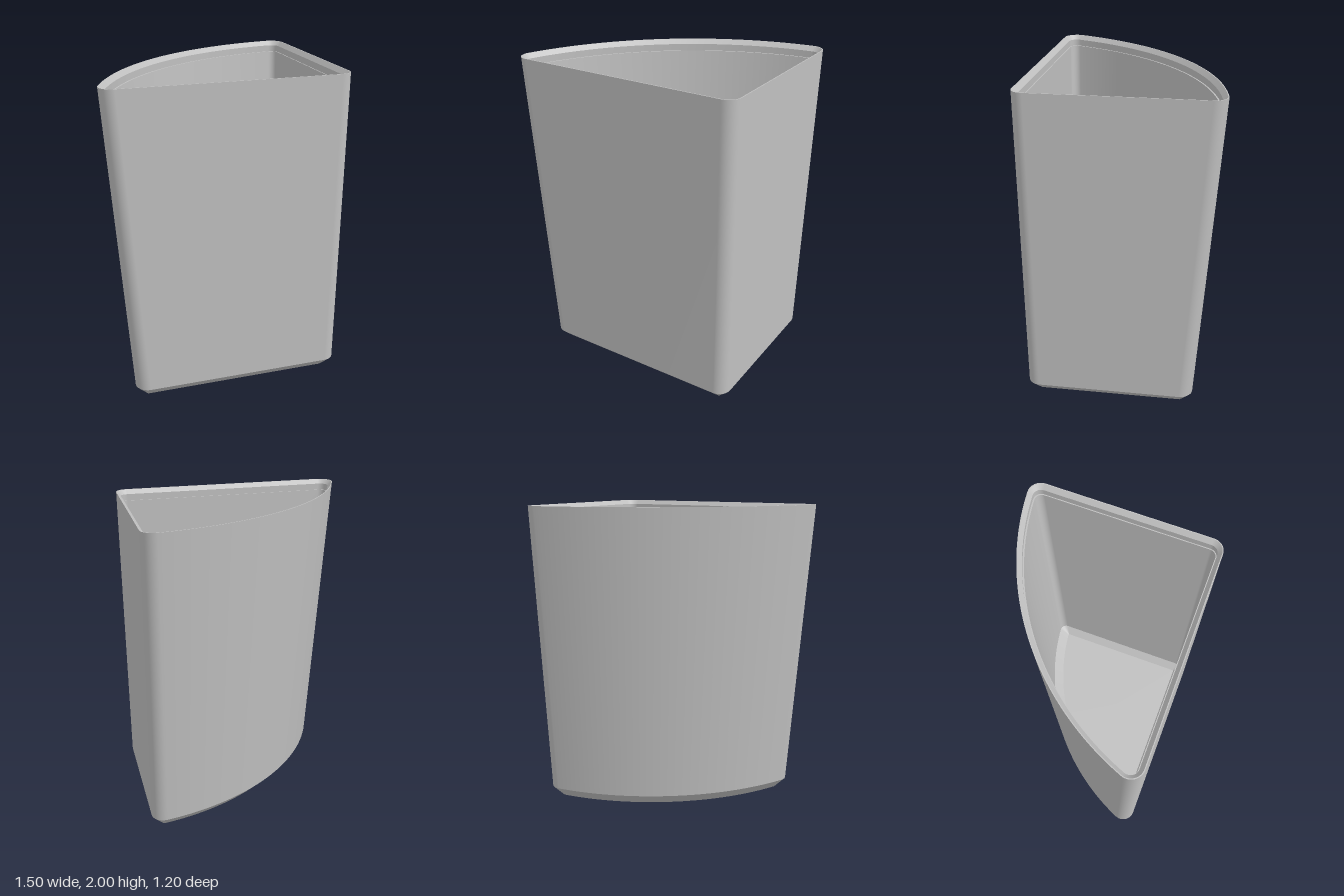
import * as THREE from 'three';

const CENTRE = { x: 0.857, z: 1.11 };   // axis of the curved back wall
const CORNER = 0.08;                    // outer corner radius

// Quarter-round outline: two straight walls, one big arc, three rounded corners.
function outline(inset, backRadius) {
  const x0 = 0.75 - inset, z0 = 0.6 - inset, R = backRadius - inset;
  const r = Math.max(CORNER - inset, 0.004);
  const bx = x0 - r, lz = z0 - r;
  const bz = CENTRE.z - Math.sqrt((R - r) ** 2 - (bx - CENTRE.x) ** 2);
  const lx = CENTRE.x - Math.sqrt((R - r) ** 2 - (lz - CENTRE.z) ** 2);
  const aB = Math.atan2(bz - CENTRE.z, bx - CENTRE.x);
  const aL = Math.atan2(lz - CENTRE.z, lx - CENTRE.x);
  const points = [];
  const arc = (cx, cz, radius, from, to, n, first = 0, last = n) => {
    for (let i = first; i <= last; i++) {
      const a = from + (to - from) * i / n;
      points.push([cx + radius * Math.cos(a), cz + radius * Math.sin(a)]);
    }
  };
  arc(bx, lz, r, Math.PI / 2, 0, 10);                // front corner
  arc(bx, bz, r, 0, aB, 10);                         // back corner
  arc(CENTRE.x, CENTRE.z, R, aB, aL, 48, 1, 47);     // curved wall
  arc(lx, lz, r, aL, -1.5 * Math.PI, 12);            // side corner
  return points;
}

function geometryFrom(positions, index) {
  const g = new THREE.BufferGeometry();
  g.setAttribute('position', new THREE.Float32BufferAttribute(positions, 3));
  g.setIndex(index);
  g.computeVertexNormals();
  return g;
}

// Closed strip of wall between two levels [y, inset, backRadius].
function band(a, b) {
  const positions = [], index = [];
  for (const [y, inset, R] of [a, b])
    for (const [x, z] of outline(inset, R)) positions.push(x, y, z);
  const n = positions.length / 6;
  for (let i = 0; i < n; i++) {
    const j = (i + 1) % n;
    index.push(i, j, n + j, i, n + j, n + i);
  }
  return geometryFrom(positions, index);
}

// Flat plate filling one level.
function plate([y, inset, R], up) {
  const positions = [0.25, y, 0.2], index = [];
  const points = outline(inset, R);
  for (const [x, z] of points) positions.push(x, y, z);
  points.forEach((_, i) => {
    const p = i + 1, q = (i + 1) % points.length + 1;
    index.push(0, up ? p : q, up ? q : p);
  });
  return geometryFrom(positions, index);
}

export function createModel() {
  const model = new THREE.Group();
  model.name = 'quarterRoundBin';
  const grey = new THREE.MeshStandardMaterial({ color: 0xc0c0c0 });
  grey.name = 'grey';
  const add = (name, geometry) => {
    const mesh = new THREE.Mesh(geometry, grey);
    mesh.name = name;
    model.add(mesh);
  };

  // Section from the base, up the outside, over the lip and down the inside.
  const levels = [
    [0, 0.075, 1.578],
    [0.075, 0, 1.578],
    [2, 0, 1.72],
    [2, 0.006, 1.72],
    [1.972, 0.03, 1.72],
    [1.93, 0.03, 1.72],
    [1.93, 0.036, 1.717],
    [0.12, 0.036, 1.6],
    [0.07, 0.08, 1.578],
  ];
  const names = ['baseChamfer', 'outerWall', 'rimTop', 'rimChamfer', 'lipWall',
    'lipLedge', 'innerWall', 'floorChamfer'];
  names.forEach((name, i) => add(name, band(levels[i], levels[i + 1])));

  add('underside', plate(levels[0], false));
  add('floor', plate(levels[levels.length - 1], true));
  return model;
}
